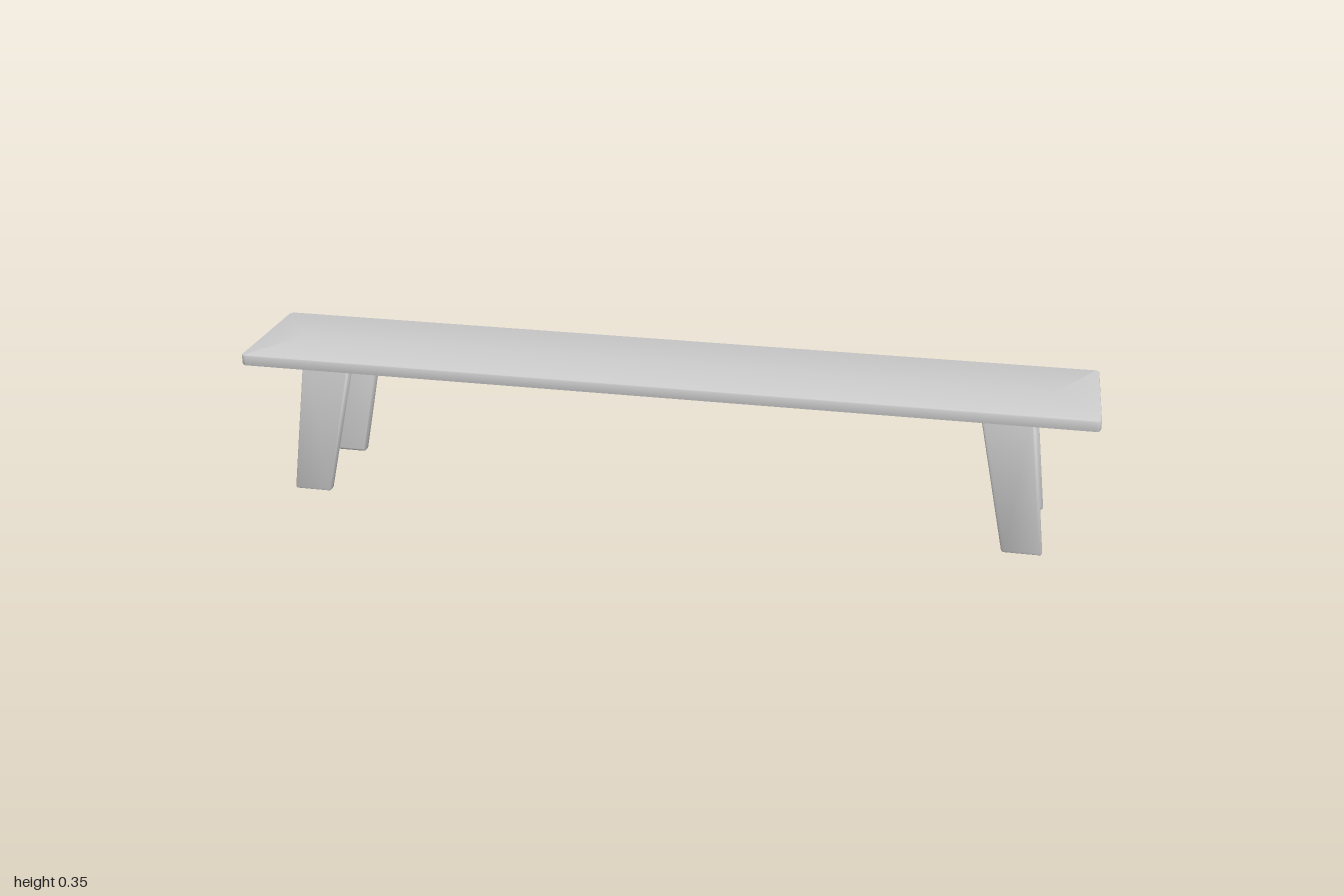
import * as THREE from 'three';
import { toCreasedNormals, mergeVertices } from 'three/addons/utils/BufferGeometryUtils.js';
import { RoundedBoxGeometry } from 'three/addons/geometries/RoundedBoxGeometry.js';

const material = new THREE.MeshStandardMaterial({ color: 0xcccccc });

// Rounded-rectangle loop around the y axis
function loop(halfX, halfZ, radius, y) {
  const points = [];
  const corners = [[1, 1], [-1, 1], [-1, -1], [1, -1]];
  corners.forEach(([sx, sz], q) => {
    for (let i = 0; i <= 4; i++) {
      const a = (q + i / 4) * Math.PI / 2;
      points.push([
        sx * (halfX - radius) + radius * Math.cos(a), y,
        sz * (halfZ - radius) + radius * Math.sin(a)]);
    }
  });
  return points;
}

// Skin a series of loops that runs from the top, down the outside, to the underside
function loft(loops) {
  const n = loops[0].length;
  const index = [];
  for (let i = 0; i < loops.length - 1; i++) {
    for (let j = 0; j < n; j++) {
      const k = (j + 1) % n;
      const a = i * n + j, b = i * n + k, c = a + n, d = b + n;
      index.push(a, b, c, b, d, c);
    }
  }
  const geometry = new THREE.BufferGeometry();
  geometry.setAttribute('position', new THREE.Float32BufferAttribute(loops.flat(2), 3));
  geometry.setIndex(index);
  return toCreasedNormals(geometry, 0.9);
}

// Slab with softened edges and a shallow recess inside a rim underneath
function makeSeat() {
  return loft([
    loop(0.9, 0, 0, 0.352),
    loop(0.996, 0.151, 0.008, 0.352),
    loop(0.999, 0.154, 0.011, 0.351),
    loop(1, 0.155, 0.012, 0.348),
    loop(1, 0.155, 0.012, 0.329),
    loop(0.999, 0.154, 0.011, 0.326),
    loop(0.996, 0.151, 0.008, 0.325),
    loop(0.9, 0.137, 0.004, 0.325),
    loop(0.9, 0.137, 0.004, 0.337),
    loop(0.8, 0, 0, 0.337),
  ]);
}

// Rounded plank, tapered and splayed outwards towards the floor
function makeLeg() {
  const width = 0.1, height = 0.34, depth = 0.025;
  let geometry = new RoundedBoxGeometry(width, height, depth, 3, 0.007);
  const p = geometry.attributes.position;
  for (let i = 0; i < p.count; i++) {
    const t = p.getY(i) / height + 0.5;
    const u = p.getX(i) / width, v = p.getZ(i) / depth;
    p.setXYZ(i,
      THREE.MathUtils.lerp(0.855, 0.798, t) + u * THREE.MathUtils.lerp(0.092, 0.122, t),
      t * height,
      THREE.MathUtils.lerp(0.121, 0.106, t) + v * THREE.MathUtils.lerp(0.022, 0.028, t));
  }
  geometry.deleteAttribute('normal');
  geometry.deleteAttribute('uv');
  geometry = mergeVertices(geometry, 1e-5);
  return toCreasedNormals(geometry, 0.7);
}

export function createModel() {
  const model = new THREE.Group();
  model.name = 'bench';

  const seat = new THREE.Mesh(makeSeat(), material);
  seat.name = 'seat';
  model.add(seat);

  // Four legs, mirrored left/right and front/back
  const legGeometry = makeLeg();
  for (const [sx, side] of [[1, 'Left'], [-1, 'Right']]) {
    for (const [sz, end] of [[1, 'front'], [-1, 'back']]) {
      const leg = new THREE.Mesh(legGeometry, material);
      leg.name = `${end}${side}Leg`;
      leg.scale.set(sx, 1, sz);
      model.add(leg);
    }
  }
  return model;
}
